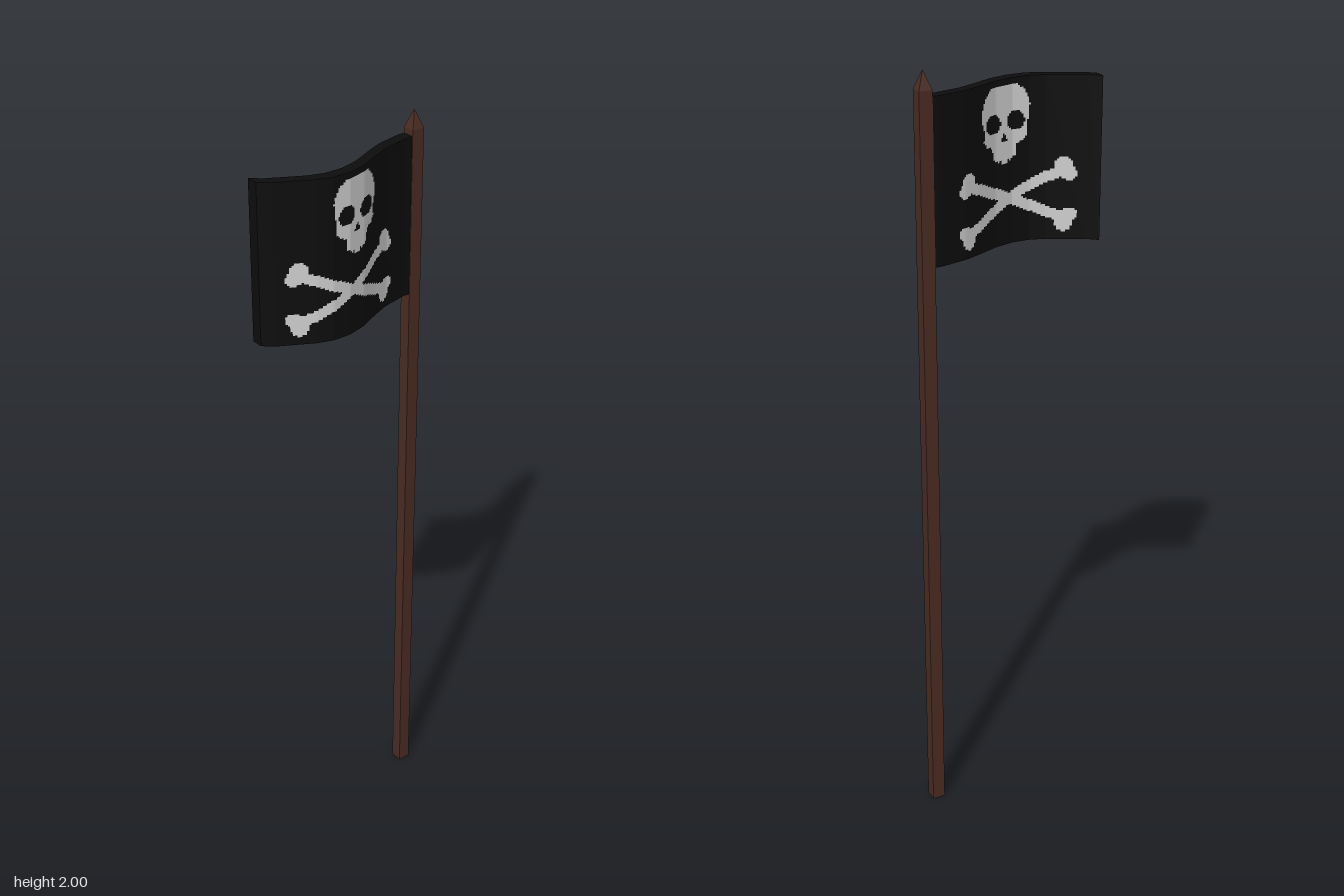
import * as THREE from 'three';

// Wave of the cloth seen from above: [x, z] along its back face
const WAVE = [[-0.242, -0.057], [-0.215, -0.034], [-0.127, 0.012], [-0.088, 0.024], [-0.04, 0.024],
  [0.012, 0.009], [0.07, -0.02], [0.118, -0.041], [0.19, -0.058], [0.212, -0.058]];
const THICK = 0.031, BOTTOM = 1.53, TOP = 1.94, CELL = 0.005;

function waveZ(x) {
  let i = 0;
  while (i < WAVE.length - 2 && x > WAVE[i + 1][0]) i++;
  const [a, b] = [WAVE[i], WAVE[i + 1]];
  return a[1] + (b[1] - a[1]) * (x - a[0]) / (b[0] - a[0]);
}

// Half outline of the skull: [distance from its middle, y]
const SKULL = [[0, 1.927], [0.04, 1.925], [0.062, 1.905], [0.074, 1.875], [0.072, 1.845], [0.064, 1.825],
  [0.067, 1.80], [0.055, 1.785], [0.038, 1.78], [0.034, 1.752], [0.02, 1.742], [0, 1.733]];

function skullHalfWidth(y) {
  for (let i = 0; i < SKULL.length - 1; i++) {
    const [a, b] = [SKULL[i], SKULL[i + 1]];
    if (y <= a[1] && y >= b[1]) return a[0] + (b[0] - a[0]) * (a[1] - y) / (a[1] - b[1]);
  }
  return -1;
}

function inSkull(x, y) {
  const d = Math.abs(x + 0.014);
  const eye = Math.hypot(d - 0.035, y - 1.837) < 0.024;
  const nose = y > 1.79 && y < 1.812 && d < (1.812 - y) * 0.55;
  const toothGap = y < 1.745 && Math.abs(d - 0.012) < 0.003;
  return d < skullHalfWidth(y) && !eye && !nose && !toothGap;
}

function inBones(x, y) {
  const dx = x + 0.03, dy = y - 1.646;
  // Two knobs on each of the four ends
  const ax = Math.abs(dx), ay = Math.abs(dy);
  if (Math.hypot(ax - 0.135, ay - 0.075) < 0.019 || Math.hypot(ax - 0.147, ay - 0.052) < 0.018) return true;
  // Crossed shafts
  const len = Math.hypot(0.137, 0.062);
  return ax < 0.14 && [1, -1].some((s) => Math.abs(dx * 0.062 * s - dy * 0.137) / len < 0.0135);
}

// Small painted cells laid on one face of the cloth
function paintedCells(inside, front) {
  const pos = [];
  const lift = front ? THICK + 0.0012 : -0.0012;
  for (let y = BOTTOM; y < TOP; y += CELL) {
    for (let x = -0.24; x < 0.2; x += CELL) {
      if (!inside(x + CELL / 2, y + CELL / 2)) continue;
      const x2 = x + CELL, y2 = y + CELL, z = waveZ(x) + lift, z2 = waveZ(x2) + lift;
      const a = [x, y, z], b = [x2, y, z2], c = [x2, y2, z2], d = [x, y2, z];
      pos.push(...(front ? [a, b, c, a, c, d] : [a, c, b, a, d, c]).flat());
    }
  }
  const geo = new THREE.BufferGeometry();
  geo.setAttribute('position', new THREE.Float32BufferAttribute(pos, 3));
  geo.computeVertexNormals();
  return geo;
}

export function createModel() {
  const wood = new THREE.MeshStandardMaterial({ name: 'dark wood', color: 0x4a2c22 });
  const cloth = new THREE.MeshStandardMaterial({ name: 'black cloth', color: 0x0d0d0d });
  const paint = new THREE.MeshStandardMaterial({ name: 'pale grey paint', color: 0xd0d0d0 });
  const group = new THREE.Group();
  group.name = 'flagOnPole';
  const add = (parent, name, geo, mat) => {
    const mesh = new THREE.Mesh(geo, mat);
    mesh.name = name;
    parent.add(mesh);
  };

  // Square pole with a pyramid tip
  const pole = new THREE.Group();
  pole.name = 'pole';
  pole.position.set(0.2235, 0, -0.042);
  add(pole, 'poleShaft', new THREE.BoxGeometry(0.034, 1.955, 0.033).translate(0, 0.9775, 0), wood);
  const tip = new THREE.ConeGeometry(0.017 * Math.SQRT2, 0.045, 4, 1, true).toNonIndexed();
  tip.rotateY(Math.PI / 4).translate(0, 1.9775, 0);
  tip.computeVertexNormals();
  add(pole, 'poleTip', tip, wood);
  group.add(pole);

  // Waving cloth: outline from above, extruded upwards
  const flag = new THREE.Group();
  flag.name = 'flag';
  const outline = [
    ...WAVE.map(([x, z]) => new THREE.Vector2(x, -z)),
    ...WAVE.map(([x, z]) => new THREE.Vector2(x, -z - THICK)).reverse(),
  ];
  const clothGeo = new THREE.ExtrudeGeometry(new THREE.Shape(outline), { depth: TOP - BOTTOM, bevelEnabled: false });
  clothGeo.rotateX(-Math.PI / 2).translate(0, BOTTOM, 0);
  add(flag, 'cloth', clothGeo, cloth);

  // Emblem on both faces
  for (const front of [true, false]) {
    const side = front ? 'Front' : 'Back';
    add(flag, 'skull' + side, paintedCells(inSkull, front), paint);
    add(flag, 'crossedBones' + side, paintedCells(inBones, front), paint);
  }
  group.add(flag);
  return group;
}
